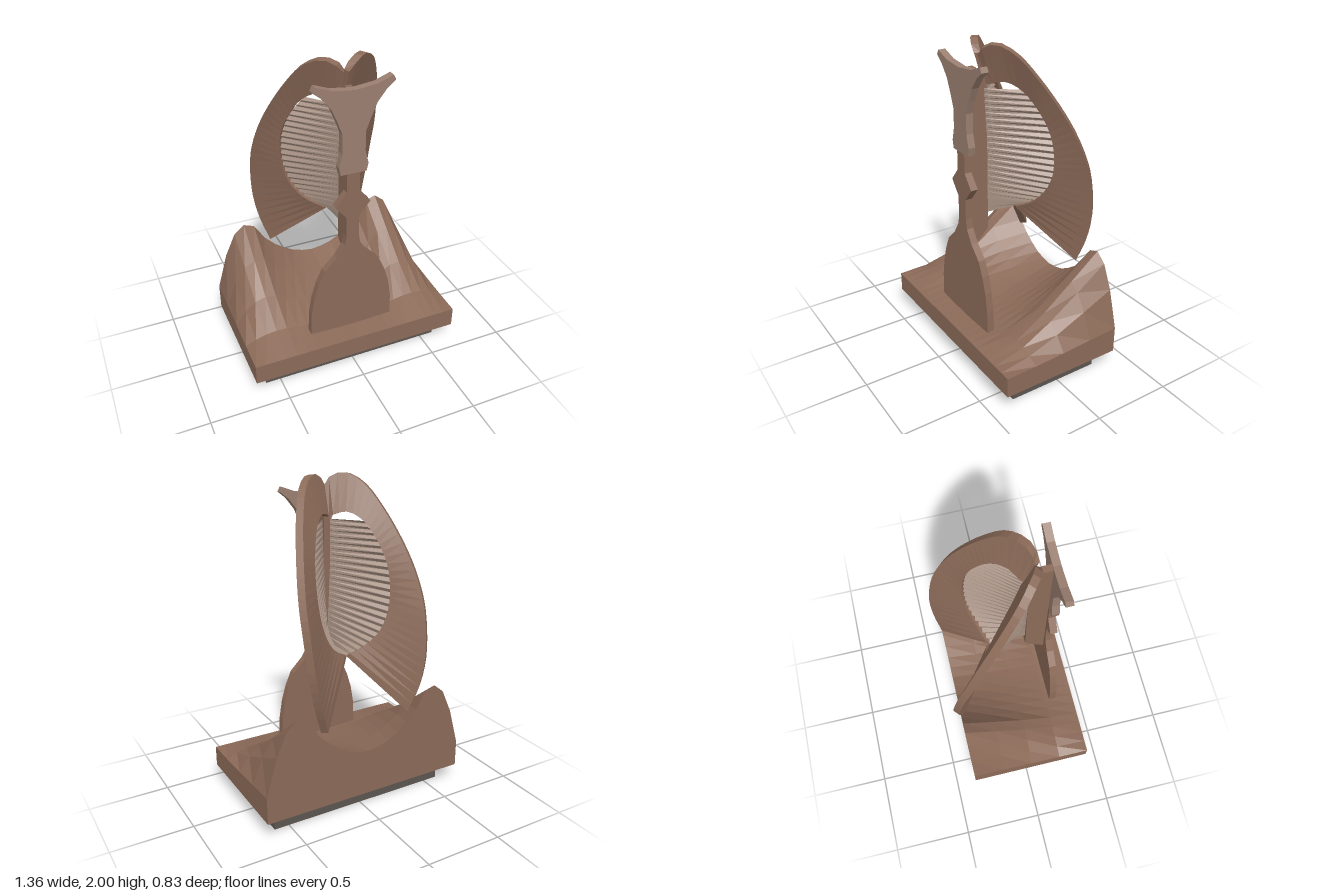
import * as THREE from 'three';

const paint = (color, extra = {}) => new THREE.MeshStandardMaterial({ color, flatShading: true, ...extra });
const wood = paint(0x8b6a58);
const lightWood = paint(0x9a7f70);
const stringMat = paint(0xa58f82, { side: THREE.DoubleSide });
const stone = paint(0x5c5650);

const named = (name, geometry, material) => {
  const mesh = new THREE.Mesh(geometry, material);
  mesh.name = name;
  return mesh;
};
const curve = (pts) => new THREE.CatmullRomCurve3(pts.map((p) => new THREE.Vector3(...p)), false, 'centripetal');

// Geometry from a list of points and quads
function quadGeometry(points, quads) {
  const g = new THREE.BufferGeometry().setFromPoints(points);
  g.setIndex(quads.flatMap(([a, b, c, d]) => [a, b, c, a, c, d]));
  const flat = g.toNonIndexed();
  flat.computeVertexNormals();
  return flat;
}

// Flat plate from one half of a symmetric outline, listed bottom to top
function symmetricPlate(half, depth) {
  const mirrored = half.filter(([x]) => x > 0).reverse().map(([x, y]) => [-x, y]);
  const shape = new THREE.Shape([...half, ...mirrored].map((p) => new THREE.Vector2(...p)));
  return new THREE.ExtrudeGeometry(shape, { depth, bevelEnabled: false });
}

// Block whose top climbs towards the back into two peaks
function terrainGeometry() {
  const ridge = [0.41, 0.42, 0.44, 0.48, 0.53, 0.6, 0.71, 0.735, 0.68, 0.53, 0.29];
  const rise = [0, 0.12, 0.37, 0.68, 1];
  const g = new THREE.BoxGeometry(1.36, 0.13, 0.79, 20, 1, 4);
  const p = g.attributes.position;
  for (let i = 0; i < p.count; i++) {
    if (p.getY(i) < 0) continue;
    const column = Math.round(Math.abs(p.getX(i)) / 0.068);
    const row = Math.round((0.395 - p.getZ(i)) / 0.1975);
    p.setY(i, 0.065 + (ridge[column] - 0.25) * rise[row]);
  }
  g.translate(0, 0.185, 0.025);
  g.computeVertexNormals();
  return g;
}

// Edges of one wing, from the top centre round to the lower tip
const outerEdge = [
  [0, 1.93, 0.17], [0.06, 1.985, 0.16], [0.12, 2.0, 0.12], [0.2, 1.95, 0.05], [0.28, 1.8, -0.06],
  [0.36, 1.55, -0.21], [0.395, 1.35, -0.3], [0.4, 1.2, -0.35], [0.385, 0.95, -0.39],
  [0.35, 0.77, -0.385], [0.295, 0.6, -0.355],
];
const innerEdge = [
  [0, 1.75, 0.12], [0.1, 1.78, 0.05], [0.17, 1.73, -0.02], [0.23, 1.6, -0.1], [0.26, 1.45, -0.16],
  [0.25, 1.25, -0.19], [0.2, 1.1, -0.18], [0.12, 1.0, -0.14], [0, 0.93, -0.09],
];

// Crescent slab swept between the two edges
function wingGeometry() {
  const n = 30;
  const outer = curve(outerEdge).getSpacedPoints(n);
  const inner = curve(innerEdge).getSpacedPoints(n);
  const normal = new THREE.Vector3(0.71, -0.12, 0.69);
  const shift = (p, d) => {
    const q = p.clone().addScaledVector(normal, d);
    q.x = Math.max(0, q.x);
    return q;
  };
  const points = [], quads = [];
  for (let i = 0; i <= n; i++) {
    points.push(shift(outer[i], 0.022), shift(inner[i], 0.022), shift(inner[i], -0.022), shift(outer[i], -0.022));
    if (i === n) continue;
    for (let k = 0; k < 4; k++) {
      const a = i * 4 + k, b = i * 4 + (k + 1) % 4;
      quads.push([a, b, b + 4, a + 4]);
    }
  }
  quads.push([0, 3, 2, 1], [n * 4, n * 4 + 1, n * 4 + 2, n * 4 + 3]);
  return quadGeometry(points, quads);
}

// Pleated web of strings from the spine to the inner rim of a wing
function stringGeometry() {
  const n = 44;
  const rim = curve(innerEdge.slice(2)).getSpacedPoints(n);
  const points = [], quads = [];
  for (let i = 0; i <= n; i++) {
    const t = i / n;
    const pleat = i % 2 ? 0.006 : -0.006;
    points.push(new THREE.Vector3(0, 1.73 - 0.79 * t, 0.17 - 0.04 * t));
    points.push(rim[i].clone().add(new THREE.Vector3(pleat, 0, pleat)));
    if (i < n) quads.push([2 * i, 2 * i + 2, 2 * i + 3, 2 * i + 1]);
  }
  return quadGeometry(points, quads);
}

export function createModel() {
  const model = new THREE.Group();
  model.name = 'wingedSculpture';

  // Plinth and landscape base
  const plinth = named('plinth', new THREE.BoxGeometry(1.19, 0.12, 0.6), stone);
  plinth.position.set(0, 0.06, 0.025);
  model.add(plinth, named('landscapeBase', terrainGeometry(), wood));

  // Upright front plate: bell-shaped foot with a slim notched stem
  const stem = named('frontStem', symmetricPlate([
    [0.275, 0.26], [0.27, 0.42], [0.25, 0.54], [0.22, 0.64], [0.18, 0.73], [0.1, 0.81], [0.05, 0.89],
    [0.04, 0.95], [0.04, 1.08], [0.11, 1.165], [0.04, 1.25], [0.04, 1.37],
  ], 0.045), wood);
  stem.position.z = 0.253;

  // Flared head of the front plate
  const head = named('flaredHead', symmetricPlate([
    [0.08, 1.37], [0.09, 1.42], [0.07, 1.5], [0.07, 1.62], [0.1, 1.7], [0.135, 1.78], [0.19, 1.85],
    [0.24, 1.89], [0.225, 1.92], [0.13, 1.885], [0, 1.87],
  ], 0.045), lightWood);
  head.position.z = 0.253;
  model.add(stem, head);

  // Spine joining the front plate to the strings and wings
  const side = [[0.255, 0.72], [0.255, 1.86], [0.2, 1.86], [0.13, 1.77], [0.13, 0.84]];
  const spineShape = new THREE.Shape(side.map(([z, y]) => new THREE.Vector2(-z, y)));
  const spine = named('spine', new THREE.ExtrudeGeometry(spineShape, { depth: 0.04, bevelEnabled: false }), wood);
  spine.rotation.y = Math.PI / 2;
  spine.position.x = -0.02;
  model.add(spine);

  // Mirrored wings with their strings
  const wing = wingGeometry(), strings = stringGeometry();
  for (const [label, s] of [['left', 1], ['right', -1]]) {
    const half = new THREE.Group();
    half.name = `${label}Half`;
    half.scale.x = s;
    half.add(named(`${label}Wing`, wing, wood), named(`${label}Strings`, strings, stringMat));
    model.add(half);
  }
  return model;
}
